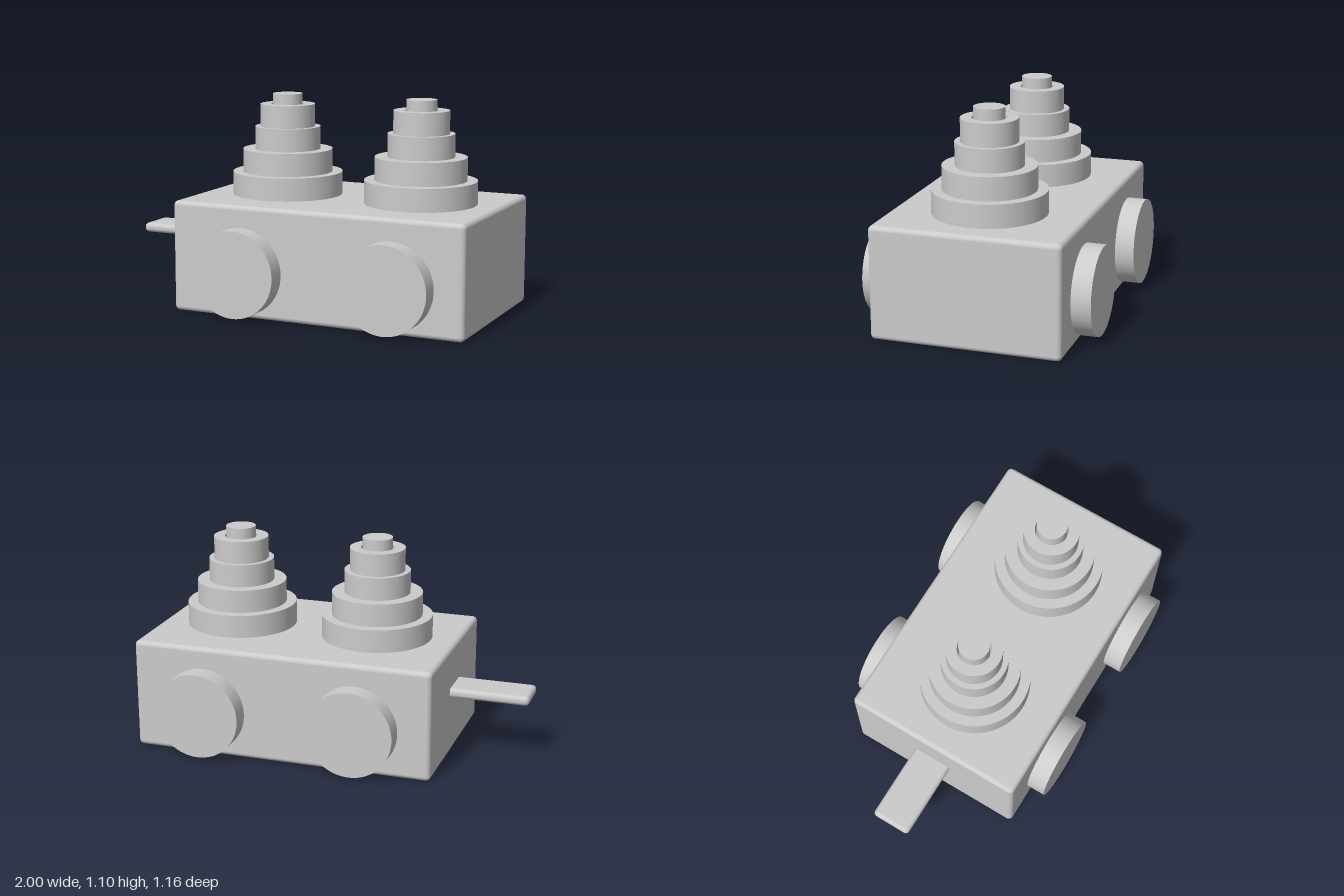
import * as THREE from 'three';
import { RoundedBoxGeometry } from 'three/addons/geometries/RoundedBoxGeometry.js';

const material = new THREE.MeshStandardMaterial({ color: 0xcccccc });

function add(parent, name, geometry, x = 0, y = 0, z = 0) {
  const mesh = new THREE.Mesh(geometry, material);
  mesh.name = name;
  mesh.position.set(x, y, z);
  parent.add(mesh);
  return mesh;
}

// Flat ring with a round centre hole, standing on y = 0
function ringGeometry(outer, inner, height) {
  const shape = new THREE.Shape().absarc(0, 0, outer, 0, Math.PI * 2);
  shape.holes.push(new THREE.Path().absarc(0, 0, inner, 0, Math.PI * 2, true));
  return new THREE.ExtrudeGeometry(shape, { depth: height, bevelEnabled: false, curveSegments: 48 })
    .rotateX(-Math.PI / 2);
}

export function createModel() {
  const model = new THREE.Group();
  model.name = 'stackingToyCart';

  // Rounded block body
  const bodyTop = 0.575;
  add(model, 'body', new RoundedBoxGeometry(1.585, bodyTop, 0.965, 4, 0.025), 0.2025, bodyTop / 2, 0);

  // Flat pull tab at one end
  add(model, 'pullTab', new RoundedBoxGeometry(0.45, 0.05, 0.21, 4, 0.022), -0.775, 0.337, -0.004);

  // Wheels, sunk slightly into both long sides
  for (const x of [-0.197, 0.618]) {
    for (const side of [1, -1]) {
      const wheel = add(model, side > 0 ? 'frontWheel' : 'backWheel',
        new THREE.CylinderGeometry(0.224, 0.224, 0.12, 64), x, 0.24, side * 0.522);
      wheel.rotation.x = Math.PI / 2;
    }
  }

  // Two pegs, each with four loose rings
  const radii = [0.288, 0.235, 0.171, 0.143];
  const levels = [bodyTop, 0.694, 0.813, 0.931, 1.048];
  const pegTop = 1.102;
  for (const x of [-0.166, 0.585]) {
    const stack = new THREE.Group();
    stack.name = 'ringStack';
    stack.position.set(x, 0, 0.005);
    radii.forEach((r, i) =>
      add(stack, 'ring', ringGeometry(r, 0.086, levels[i + 1] - levels[i]), 0, levels[i], 0));
    const pegHeight = pegTop - bodyTop + 0.02;
    add(stack, 'peg', new THREE.CylinderGeometry(0.078, 0.078, pegHeight, 48), 0, pegTop - pegHeight / 2, 0);
    model.add(stack);
  }
  return model;
}
